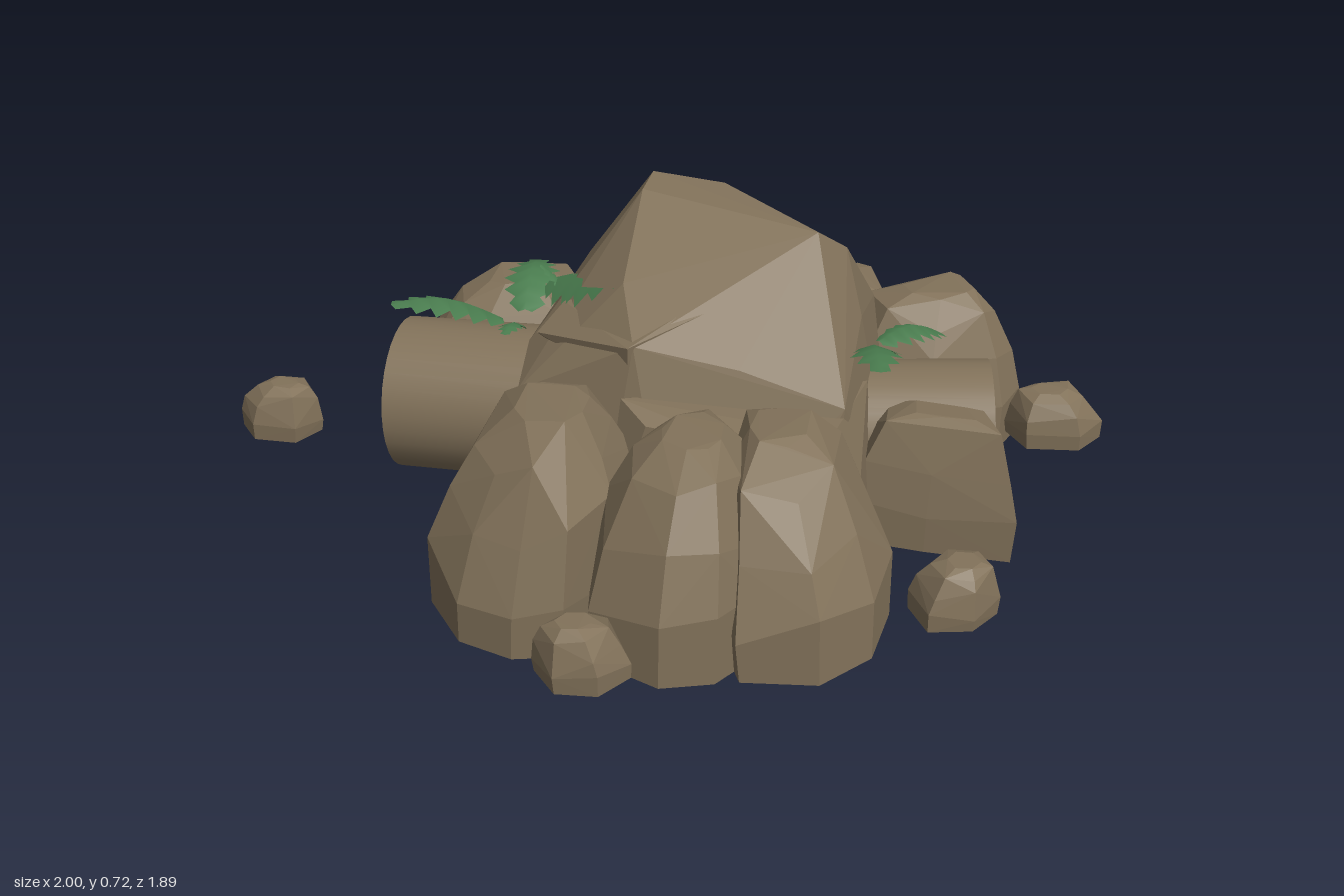
import * as THREE from 'three';
import { ConvexGeometry } from 'three/addons/geometries/ConvexGeometry.js';

export function createModel() {
  const model = new THREE.Group();
  model.name = 'rockPile';
  const stone = new THREE.MeshStandardMaterial({ color: 0x82725a, side: THREE.DoubleSide });
  stone.name = 'stone brown';
  const green = new THREE.MeshStandardMaterial({ color: 0x4a7d4f, side: THREE.DoubleSide });
  green.name = 'fern green';

  let seed = 7;
  const rand = () => {
    seed = (seed * 16807) % 2147483647;
    return seed / 2147483647 - 0.5;
  };
  const add = (name, geometry, material = stone, parent = model) => {
    const mesh = new THREE.Mesh(geometry, material);
    mesh.name = name;
    parent.add(mesh);
    return mesh;
  };

  // Faceted hull left open on its flat underside
  const openHull = (points) => {
    const floor = Math.min(...points.map((p) => p[1])) + 0.005;
    const closed = new ConvexGeometry(points.map((p) => new THREE.Vector3(...p))).attributes.position.array;
    const open = [];
    for (let i = 0; i < closed.length; i += 9) {
      if (Math.max(closed[i + 1], closed[i + 4], closed[i + 7]) > floor) open.push(...closed.slice(i, i + 9));
    }
    const geometry = new THREE.BufferGeometry();
    geometry.setAttribute('position', new THREE.Float32BufferAttribute(open, 3));
    geometry.computeVertexNormals();
    return geometry;
  };

  // Faceted boulder: a footprint pulled in level by level towards a top point
  const levels = [[0, 0.97], [0.28, 1], [0.6, 0.89], [0.86, 0.66], [1, 0.36]];
  const boulder = (name, y0, y1, foot, top) => {
    const cx = foot.reduce((s, p) => s + p[0], 0) / foot.length;
    const cz = foot.reduce((s, p) => s + p[1], 0) / foot.length;
    const points = [];
    levels.forEach(([t, s], level) => {
      foot.forEach(([x, z]) => {
        const k = t * t * 0.8;
        const scale = s * (1 + (level > 1 ? rand() * 0.12 : 0));
        const dy = level === 0 ? 0 : level === 4 ? -Math.abs(rand()) * 0.06 : rand() * 0.16;
        points.push([
          cx + (top[0] - cx) * k + (x - cx) * scale,
          y0 + (y1 - y0) * (t + dy),
          cz + (top[1] - cz) * k + (z - cz) * scale,
        ]);
      });
    });
    return add(name, openHull(points));
  };

  // Central mound
  const mound = [
    [-0.04, 0.72, -0.16], [-0.05, 0.715, -0.06], [0.34, 0.67, 0.03], [0.4, 0.61, -0.04], [0.12, 0.7, -0.16],
    [-0.2, 0.51, 0.02], [-0.06, 0.59, 0.17], [-0.02, 0.51, 0.31], [0.2, 0.46, 0.29], [0.44, 0.48, 0.03],
    [0.46, 0.43, -0.2], [0.32, 0.43, -0.37], [0.16, 0.4, -0.43], [-0.12, 0.38, -0.43], [-0.2, 0.4, -0.36],
    [-0.28, 0.41, 0.1], [-0.28, 0.36, 0.24], [0.42, 0.38, 0.28], [0.2, 0.52, -0.31], [-0.18, 0.53, -0.14],
  ];
  for (let i = 0; i < 16; i++) {
    const a = (i / 16) * Math.PI * 2;
    mound.push([0.08 + Math.cos(a) * 0.45, 0.03, Math.sin(a) * 0.43]);
  }
  add('mound', openHull(mound));

  // Low rim under the mound, with a ragged inner lip
  const band = (name, top, bottom, height, y) => {
    const ring = new THREE.CylinderGeometry(top, bottom, height, 24, 1, true);
    ring.scale(0.475, 1, 0.43);
    ring.translate(0.075, y, -0.01);
    return add(name, ring);
  };
  band('baseRim', 1, 1, 0.04, 0.02);
  const lip = band('innerLip', 0.78, 1, 0.09, 0.045).geometry;
  for (let i = 0; i < 24; i++) lip.attributes.position.setY(i, 0.09 + rand() * 0.06);
  lip.attributes.position.setY(24, lip.attributes.position.getY(0));
  lip.computeVertexNormals();

  // Slabs and ledges lying on the mound
  add('frontSlab', openHull([
    [-0.2, 0.51, 0.1], [0.22, 0.62, 0.1], [0.21, 0.58, 0.16], [-0.03, 0.51, 0.32],
    [-0.25, 0.46, 0.16], [-0.2, 0.4, 0.12], [0.2, 0.45, 0.12], [-0.03, 0.42, 0.31],
  ]));
  add('frontLedge', openHull([
    [-0.04, 0.41, 0.35], [0.02, 0.38, 0.41], [0.2, 0.37, 0.44], [0.4, 0.36, 0.36], [0.46, 0.36, 0.1],
    [-0.08, 0.05, 0.42], [0.2, 0.05, 0.46], [0.46, 0.05, 0.38], [0.49, 0.05, 0.1], [0.0, 0.3, 0.1], [0.46, 0.24, 0.32],
  ]));
  [[0.2, 0.52, -0.27], [0.26, 0.45, -0.34]].forEach(([x, y, z]) => {
    const s = 0.05;
    boulder('backChip', y - s * 1.4, y + s, [[x - s, z], [x, z - s], [x + s, z - s * 0.4], [x + s * 0.6, z + s]], [x, z]);
  });

  // Ring of boulders
  boulder('frontLeftBoulder', 0.03, 0.455,
    [[-0.38, 0.32], [-0.3, 0.27], [-0.12, 0.27], [-0.02, 0.38], [-0.03, 0.6], [-0.1, 0.75], [-0.2, 0.77], [-0.32, 0.72], [-0.41, 0.58]], [-0.15, 0.45]);
  boulder('frontMiddleBoulder', 0.03, 0.455,
    [[0.0, 0.46], [0.14, 0.38], [0.27, 0.5], [0.28, 0.7], [0.21, 0.8], [0.1, 0.83], [-0.05, 0.75], [-0.07, 0.58]], [0.14, 0.53]);
  boulder('frontRightBoulder', 0.03, 0.445,
    [[0.22, 0.38], [0.34, 0.34], [0.51, 0.38], [0.54, 0.5], [0.51, 0.67], [0.41, 0.78], [0.25, 0.79], [0.18, 0.6]], [0.29, 0.46]);
  boulder('sideBoulder', 0.03, 0.335,
    [[0.44, 0.04], [0.74, 0.1], [0.79, 0.27], [0.6, 0.25], [0.44, 0.22]], [0.63, 0.16]);
  boulder('backRightBoulder', 0.03, 0.405,
    [[0.36, -0.34], [0.66, -0.57], [0.73, -0.55], [0.81, -0.33], [0.77, -0.24], [0.6, -0.15], [0.42, -0.18]], [0.62, -0.34]);
  boulder('backRightSliver', 0.03, 0.36,
    [[0.22, -0.4], [0.26, -0.56], [0.44, -0.7], [0.49, -0.68], [0.55, -0.42], [0.4, -0.3]], [0.37, -0.46]);
  boulder('backBoulder', 0.03, 0.36,
    [[-0.2, -0.52], [-0.21, -0.68], [-0.13, -0.84], [0.04, -0.96], [0.1, -0.95], [0.23, -0.7], [0.23, -0.55], [0.05, -0.42]], [-0.01, -0.62]);
  boulder('backInnerBoulder', 0.03, 0.35,
    [[-0.12, -0.4], [0.1, -0.38], [0.23, -0.42], [0.22, -0.58], [0.0, -0.62], [-0.13, -0.52]], [0.06, -0.48]);
  boulder('backLeftBoulder', 0.03, 0.37,
    [[-0.63, -0.36], [-0.59, -0.52], [-0.45, -0.58], [-0.28, -0.55], [-0.18, -0.4], [-0.25, -0.2], [-0.5, -0.16], [-0.61, -0.22]], [-0.38, -0.36]);

  // Loose pebbles around the pile
  [[-0.905, -0.04, 0.098, 0.08], [0.89, -0.24, 0.112, 0.085], [0.66, 0.55, 0.092, 0.095], [-0.04, 0.865, 0.097, 0.095]]
    .forEach(([x, z, rx, rz], n) => {
      const foot = [];
      for (let i = 0; i < 6; i++) {
        const a = (i / 6) * Math.PI * 2;
        const r = 1 + (i % 3 ? rand() * 0.3 : 0);
        foot.push([x + Math.cos(a) * rx * r, z + Math.sin(a) * rz * r]);
      }
      boulder('pebble', 0.08, 0.205, foot, [x + (n % 2 ? -0.02 : 0.02), z + 0.01]);
    });

  // Two log ends sticking out of the mound
  const log = (name, from, to, radius) => {
    const a = new THREE.Vector3(...from);
    const b = new THREE.Vector3(...to);
    const group = new THREE.Group();
    group.name = name;
    group.position.copy(a);
    group.quaternion.setFromUnitVectors(new THREE.Vector3(0, 1, 0), b.clone().sub(a).normalize());
    const length = a.distanceTo(b);
    const trunk = new THREE.CylinderGeometry(radius, radius * 1.02, length, 32);
    trunk.translate(0, length / 2, 0);
    add('trunk', trunk, stone, group);
    const heart = new THREE.CylinderGeometry(0.022, 0.028, 0.012, 12);
    heart.translate(0, length + 0.004, 0);
    add('logHeart', heart, stone, group);
    model.add(group);
  };
  log('leftLog', [0.05, 0.23, 0.05], [-0.59, 0.21, -0.015], 0.172);
  log('rightLog', [0, 0.19, 0.05], [0.73, 0.21, -0.015], 0.148);

  // Arched fern leaf with toothed edges; roll tips it sideways
  const fern = (from, to, width, arch, roll = 0) => {
    const a = new THREE.Vector3(...from);
    const b = new THREE.Vector3(...to);
    const side = new THREE.Vector3(b.z - a.z, 0, a.x - b.x).normalize();
    const rows = 12;
    const geometry = new THREE.PlaneGeometry(2, 1, 2, rows);
    const pos = geometry.attributes.position;
    const p = new THREE.Vector3();
    for (let i = 0; i < pos.count; i++) {
      const row = Math.floor(i / 3);
      const t = row / rows;
      const envelope = Math.pow(Math.sin(Math.PI * Math.min(1, 0.1 + t * 0.9)), 0.7);
      const w = width * 0.5 * envelope * (row % 2 ? 1 : 0.55) * pos.getX(i);
      p.lerpVectors(a, b, Math.min(1, t + (row % 2 && w ? 0.06 : 0))).addScaledVector(side, w);
      p.y += arch * Math.sin(Math.PI * t) - Math.abs(w) * 0.35 + w * roll;
      pos.setXYZ(i, p.x, p.y, p.z);
    }
    geometry.computeVertexNormals();
    add('fernLeaf', geometry, green);
  };
  fern([-0.32, 0.41, -0.06], [-0.33, 0.43, -0.3], 0.13, 0.04);
  fern([-0.37, 0.39, -0.05], [-0.6, 0.455, 0.05], 0.13, 0.03);
  fern([-0.32, 0.39, -0.01], [-0.33, 0.43, 0.12], 0.06, 0.02);
  fern([-0.25, 0.51, -0.01], [-0.06, 0.595, 0.15], 0.14, 0.0, 0.4);
  fern([-0.2, 0.49, 0.01], [-0.27, 0.55, 0.0], 0.04, 0);
  fern([0.46, 0.385, 0.0], [0.49, 0.47, 0.28], 0.12, 0.035);
  fern([0.48, 0.38, -0.06], [0.62, 0.355, -0.17], 0.11, 0.03);
  fern([0.02, 0.35, -0.77], [0.09, 0.36, -0.66], 0.07, 0.008);

  return model;
}
